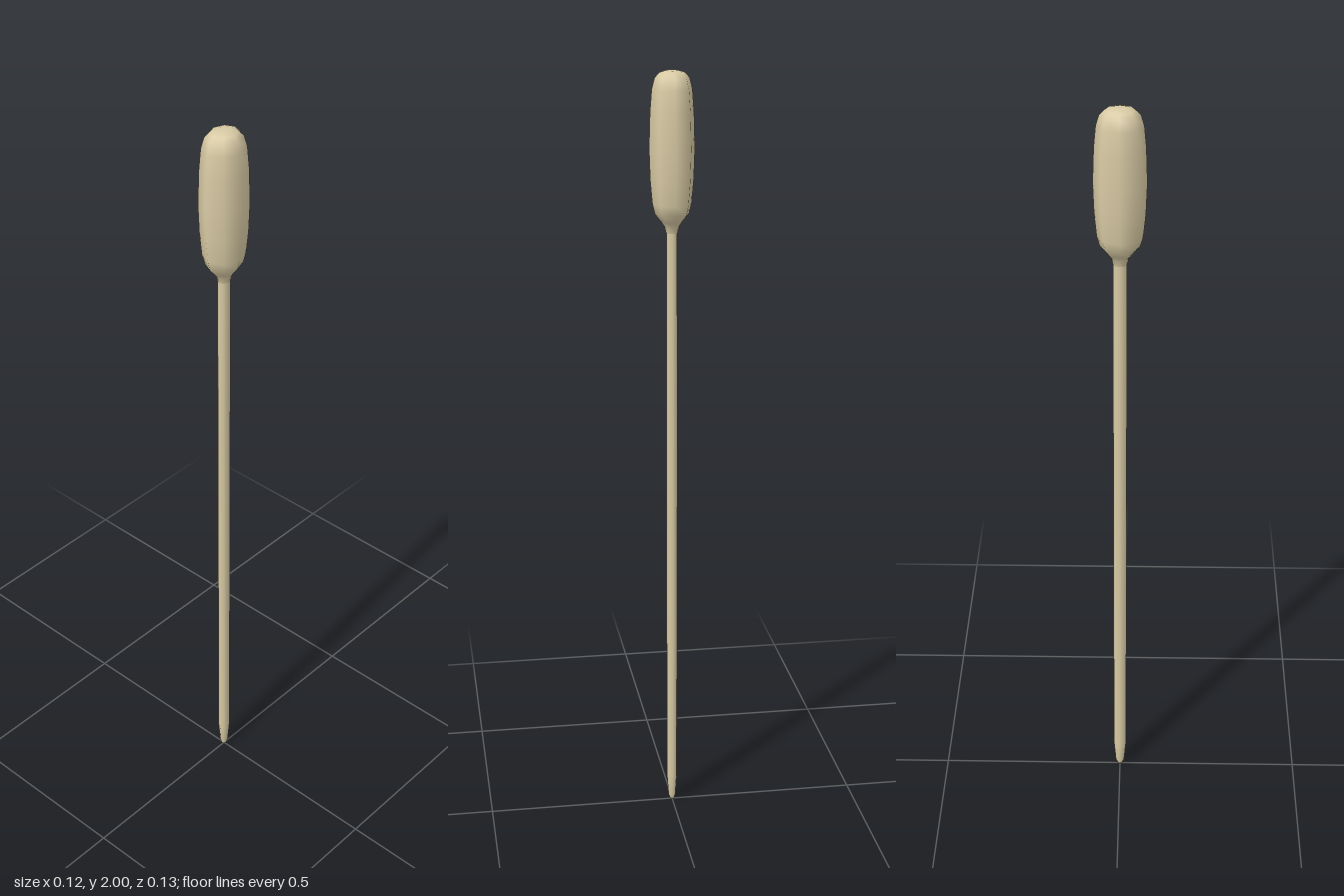
import * as THREE from 'three';

const SIDES = 8;

// Smooth eight-sided turned part, slightly flattened across x
function turned(name, profile, flatten, material) {
  const points = profile.map(([r, y]) => new THREE.Vector2(r, y));
  const geometry = new THREE.LatheGeometry(points, SIDES);
  geometry.scale(flatten, 1, 1);
  const mesh = new THREE.Mesh(geometry, material);
  mesh.name = name;
  return mesh;
}

export function createModel() {
  const group = new THREE.Group();
  group.name = 'swab';
  const material = new THREE.MeshStandardMaterial({ color: 0xd8caa4 });

  // Long thin stick with a tapered, rounded lower end
  group.add(turned('stick', [
    [0, 0], [0.007, 0.002], [0.012, 0.014], [0.015, 0.05],
    [0.0175, 0.08], [0.0175, 1.61],
  ], 0.83, material));

  // Padded head, flaring out of the stick and rounded on top
  group.add(turned('head', [
    [0.0175, 1.595], [0.022, 1.612], [0.033, 1.625], [0.05, 1.645],
    [0.057, 1.67], [0.063, 1.73], [0.066, 1.81], [0.063, 1.9],
    [0.058, 1.955], [0.05, 1.982], [0.037, 1.995], [0.018, 2], [0, 2],
  ], 0.88, material));

  return group;
}
